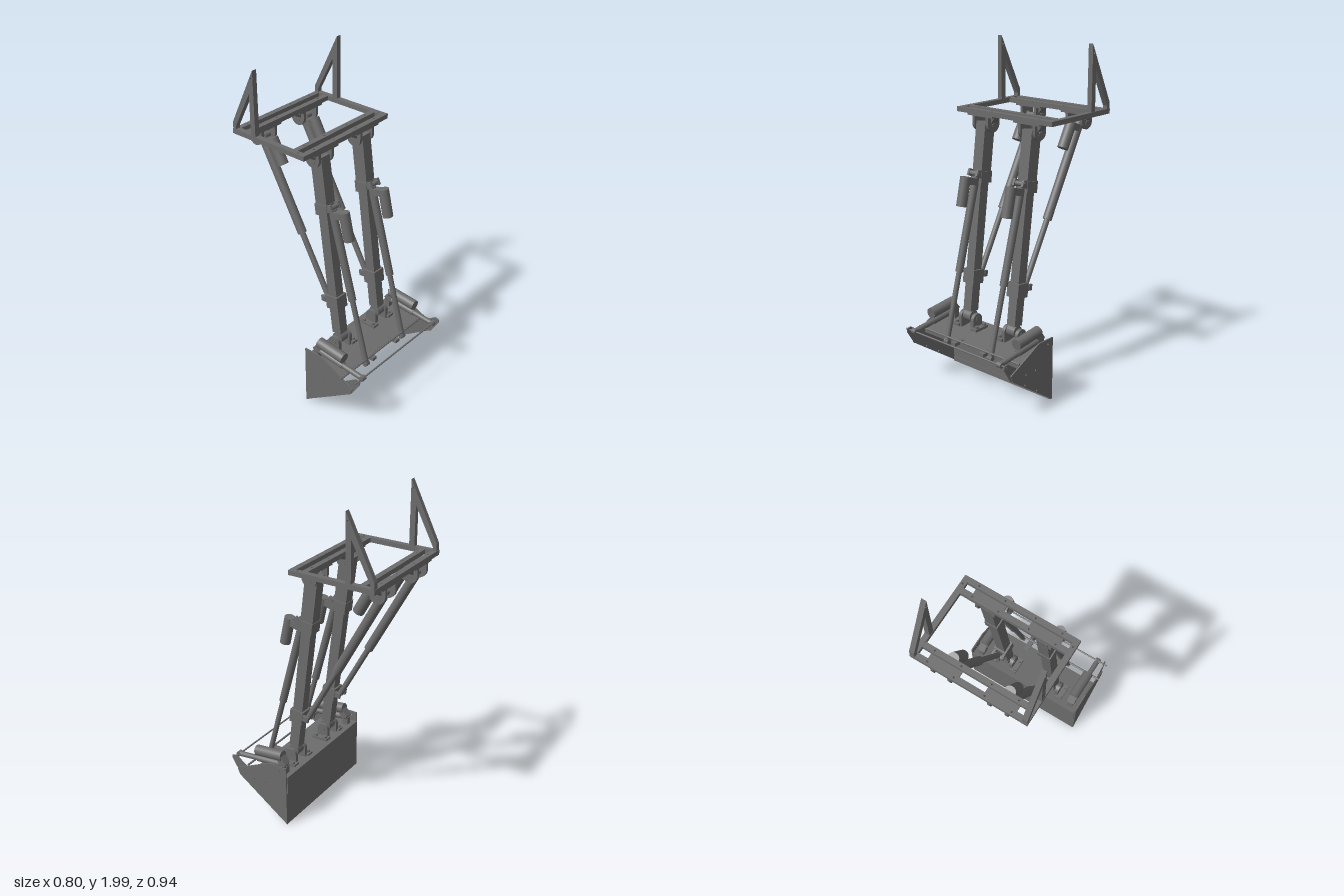
import * as THREE from 'three';

export function createModel() {
  const root = new THREE.Group();
  const mat = new THREE.MeshStandardMaterial({ color: 0x6c6c6c, side: THREE.DoubleSide });
  const axis = 0.003; // symmetry plane, offset by the longer right rod ends

  const add = (name, geo, x = 0, y = 0, z = 0) => {
    const m = new THREE.Mesh(geo, mat);
    m.name = name;
    m.position.set(axis + x, y, z);
    root.add(m);
    return m;
  };
  const box = (name, w, h, d, x, y, z) => add(name, new THREE.BoxGeometry(w, h, d), x, y, z);

  // Lay a geometry whose length is along y between two [z, y] points
  const between = (name, make, x, a, b) => {
    const dz = b[0] - a[0], dy = b[1] - a[1];
    const m = add(name, make(Math.hypot(dz, dy)), x, (a[1] + b[1]) / 2, (a[0] + b[0]) / 2);
    m.rotation.x = Math.atan2(dz, dy);
    return m;
  };
  const beam = (name, x, a, b, w, d) => between(name, l => new THREE.BoxGeometry(w, l, d), x, a, b);
  const tube = (name, x, a, b, r) => between(name, l => new THREE.CylinderGeometry(r, r, l, 24), x, a, b);
  const pin = (name, x, y, z, r, len) => {
    add(name, new THREE.CylinderGeometry(r, r, len, 20), x, y, z).rotation.z = Math.PI / 2;
  };
  const mix = (a, b, t) => [a[0] + (b[0] - a[0]) * t, a[1] + (b[1] - a[1]) * t];

  const hole = (shape, x, y, r) => shape.holes.push(new THREE.Path().absarc(x, y, r, 0, Math.PI * 2, true));
  const extrude = (shape, depth) => {
    const g = new THREE.ExtrudeGeometry(shape, { depth, bevelEnabled: false, curveSegments: 12 });
    return g.translate(0, 0, -depth / 2);
  };
  // Upright plate in the z-y plane, from a shape drawn as (z, y)
  const plate = (name, shape, t, x, y = 0, z = 0) => add(name, extrude(shape, t).rotateY(-Math.PI / 2), x, y, z);
  const poly = pts => new THREE.Shape(pts.map(p => new THREE.Vector2(...p)));

  // Flat strip with vertical bolt holes, drawn as (x, z)
  const drilled = (name, w, d, h, holes, x, y, z) => {
    const s = poly([[-w / 2, -d / 2], [w / 2, -d / 2], [w / 2, d / 2], [-w / 2, d / 2]]);
    holes.forEach(([hx, hz]) => hole(s, hx, hz, 0.006));
    add(name, extrude(s, h).rotateX(Math.PI / 2), x, y, z);
  };

  // Ear with a round end at the pin; dir is +1 when the base is above the pin
  const ear = (r, h, dir) => {
    const s = new THREE.Shape();
    s.moveTo(r, dir * h);
    s.lineTo(r, 0);
    s.absarc(0, 0, r, 0, Math.PI, dir > 0);
    s.lineTo(-r, dir * h);
    s.closePath();
    hole(s, 0, 0, 0.012);
    return s;
  };

  // Mounting frame
  const boltX = [-0.252, -0.092, 0.092, 0.252];
  for (const z of [-0.458, -0.388, -0.036, 0.034])
    drilled('frameCrossbar', 0.638, 0.033, 0.028, boltX.map(x => [x, 0]), 0, 1.606, z);
  for (const s of [-1, 1]) {
    drilled('frameSideRail', 0.033, 0.525, 0.028, [[0, 0.212]], s * 0.335, 1.606, -0.2125);
    const tri = poly([[-0.302, 1.62], [-0.302, 2], [-0.315, 1.975], [-0.472, 1.66], [-0.472, 1.62]]);
    tri.holes.push(new THREE.Path([[-0.335, 1.622], [-0.45, 1.622], [-0.45, 1.64], [-0.335, 1.86]]
      .map(p => new THREE.Vector2(...p))));
    hole(tri, -0.315, 1.95, 0.006);
    plate('sideUpright', tri, 0.03, s * 0.335);
  }

  // Electric actuator: main tube, sliding rod, parallel motor and the gearbox joining them
  const actuator = (name, x, top, end, split, r, rodR, motorA, motorB, motorR) => {
    const mid = mix(top, end, split);
    tube(name + 'Body', x, top, mid, r);
    tube(name + 'Rod', x, mid, end, rodR);
    tube(name + 'Motor', x, motorA, motorB, motorR);
    beam(name + 'Gearbox', x, mix(top, end, 0.03), mix(motorA, motorB, 0.12), motorR * 1.5, 0.04);
    pin(name + 'RodEye', x, end[1], end[0], rodR, rodR * 2);
  };

  const armTop = [0.005, 1.52], armEnd = [0.148, 0.40];
  for (const s of [-1, 1]) {
    const x = s * 0.172;

    // Hanging brackets under the frame
    for (const z of [0, -0.422]) {
      const bolts = [-0.08, 0.08].flatMap(bx => [[bx, -0.036], [bx, 0.034]]);
      drilled('bracketFlange', 0.19, 0.1, 0.012, bolts, x, 1.588, z);
      for (const k of [-1, 1]) {
        plate('bracketEar', ear(0.048, 0.045, 1), 0.018, x + k * 0.052, 1.54, z);
        // Gusset tapering from flange to ear
        const g = poly([[0.06, 0], [0.09, 0], [0.06, -0.04]].map(([a, b]) => [k * a, b]));
        add('bracketGusset', extrude(g, 0.05), x, 1.583, z);
      }
      pin('bracketPin', x, 1.525, z, 0.016, 0.126);
    }

    // Lifting arm: outer and inner box tubes with collars
    beam('armOuter', x, mix(armTop, armEnd, -0.025), mix(armTop, armEnd, 0.26), 0.07, 0.08);
    beam('armInner', x, mix(armTop, armEnd, 0.2), mix(armTop, armEnd, 0.97), 0.06, 0.064);
    beam('upperCollar', x, mix(armTop, armEnd, 0.225), mix(armTop, armEnd, 0.285), 0.084, 0.086);
    beam('lowerCollar', x, mix(armTop, armEnd, 0.745), mix(armTop, armEnd, 0.82), 0.084, 0.086);
    pin('armFoot', x, armEnd[1], armEnd[0], 0.035, 0.058);

    // Lugs where the actuators meet the arm
    for (const k of [-1, 1]) {
      beam('upperLug', x + k * 0.032, [0.05, 1.24], [0.115, 1.27], 0.014, 0.04);
      beam('lowerLug', x + k * 0.032, [0.11, 0.655], [0.035, 0.643], 0.014, 0.036);
    }
    pin('upperLugPin', x, 1.262, 0.1, 0.014, 0.084);
    pin('lowerLugPin', x, 0.645, 0.052, 0.014, 0.084);

    actuator('liftActuator', x, [-0.425, 1.52], [0.053, 0.645], 0.595, 0.027, 0.017,
      [-0.352, 1.535], [-0.275, 1.395], 0.033);
    actuator('tiltActuator', x, [0.088, 1.24], [0.346, 0.298], 0.575, 0.023, 0.016,
      [0.172, 1.255], [0.21, 1.088], 0.031);

    // Arm mounts on the bucket
    for (const k of [-1, 1]) {
      box('mountFoot', 0.045, 0.016, 0.105, x + k * 0.072, 0.338, 0.148);
      plate('mountEar', ear(0.038, 0.06, -1), 0.022, x + k * 0.049, 0.385, 0.148);
      for (const z of [0.115, 0.18])
        add('mountBolt', new THREE.CylinderGeometry(0.011, 0.011, 0.014, 16), x + k * 0.08, 0.352, z);
    }
    pin('mountPin', x, 0.39, 0.148, 0.015, 0.124);

    // Bucket end plate with bolt holes
    const side = poly([[0.068, 0.01], [0.068, 0.398], [0.19, 0.398], [0.31, 0.34], [0.425, 0.285], [0.41, 0.245]]);
    [[0.3, 0.25], [0.22, 0.25], [0.31, 0.19], [0.21, 0.12], [0.11, 0.37]].forEach(([z, y]) => hole(side, z, y, 0.005));
    plate('bucketEnd', side, 0.008, s * 0.39);

    // Grab arm at the bucket mouth and its short actuator
    plate('grabArm', poly([[0.34, 0.29], [0.44, 0.362], [0.468, 0.355], [0.468, 0.335], [0.412, 0.245], [0.39, 0.25]]),
      0.008, s * 0.38);
    actuator('grabActuator', s * 0.335, [0.1, 0.385], [0.45, 0.347], 0.6, 0.02, 0.016,
      [0.128, 0.438], [0.315, 0.417], 0.032);
    box('grabActuatorMount', 0.03, 0.06, 0.035, s * 0.335, 0.35, 0.112);
    box('lipTab', 0.033, 0.02, 0.08, s * 0.11, 0.3, 0.32);
  }

  // Bucket shell: back, stepped upper back panel, sloping top and lip
  plate('bucketShell', poly([[0.068, 0.01], [0.068, 0.225], [0.062, 0.225], [0.062, 0.338], [0.32, 0.302],
    [0.32, 0.284], [0.31, 0.284], [0.31, 0.294], [0.076, 0.328], [0.076, 0.01]]), 0.772, 0);
  box('bucketCuttingEdge', 0.772, 0.03, 0.012, 0, 0.025, 0.074);

  // Cross rods at the mouth
  pin('pivotRod', -0.008, 0.328, 0.348, 0.006, 0.79);
  pin('grabRod', -0.008, 0.345, 0.45, 0.005, 0.79);

  return root;
}
